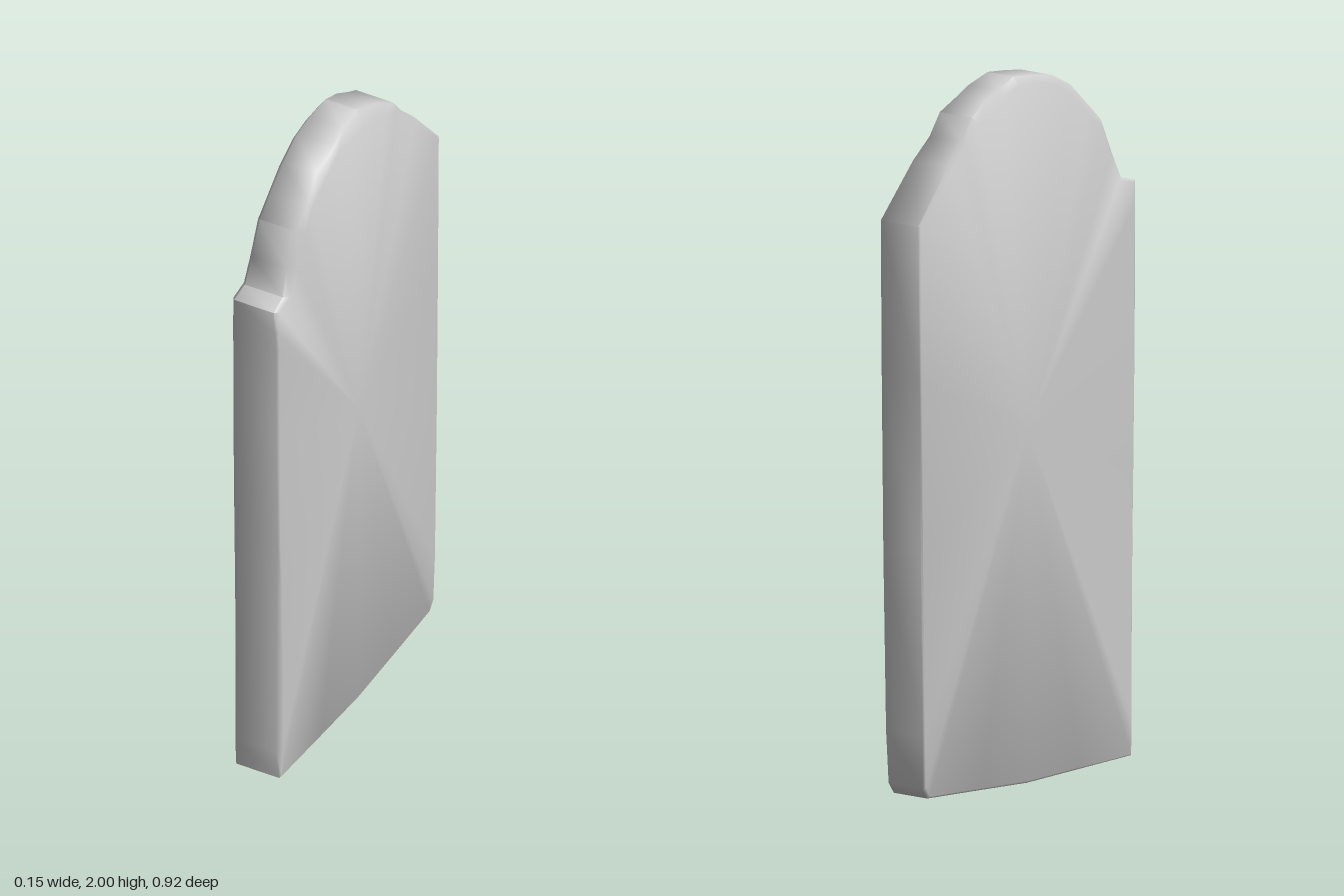
import * as THREE from 'three';
import { toCreasedNormals } from 'three/addons/utils/BufferGeometryUtils.js';

// Silhouette from the front foot, over the arch, to the back foot:
// [z, y, chip on the left edge, chip on the right edge]
const OUTLINE = [
  [0.44, 0.01, 0.008, 0.006], [0.443, 0.1, 0.02, 0.006], [0.443, 0.32, 0.018, 0.006],
  [0.446, 0.62, 0.014, 0.006], [0.449, 0.82, 0.007, 0.005], [0.455, 1.2, 0.008, 0.005],
  [0.457, 1.5, 0.008, 0.006], [0.463, 1.56, 0.008, 0.012], [0.463, 1.63, 0.014, 0.014],
  [0.405, 1.645, 0.02, 0.016], [0.37, 1.72, 0.03, 0.02], [0.325, 1.82, 0.03, 0.02],
  [0.27, 1.875, 0.014, 0.026], [0.2, 1.94, 0.03, 0.03], [0.12, 1.978, 0.02, 0.024],
  [0.04, 1.99, 0.035, 0.02], [-0.04, 1.998, 0.045, 0.026], [-0.11, 1.97, 0.03, 0.02],
  [-0.16, 1.945, 0.03, 0.03], [-0.22, 1.91, 0.018, 0.02], [-0.27, 1.85, 0.026, 0.014],
  [-0.33, 1.79, 0.014, 0.012], [-0.46, 1.64, 0.006, 0.006], [-0.455, 1.2, 0.005, 0.005],
  [-0.449, 0.7, 0.006, 0.005], [-0.441, 0.2, 0.01, 0.006], [-0.438, 0.05, 0.02, 0.008],
  [-0.42, 0.02, 0.025, 0.008], [-0.2, 0.01, 0.012, 0.006], [0, 0.0, 0.006, 0.006],
  [0.22, 0.005, 0.006, 0.006],
];
const LEFT = 0.071, RIGHT = -0.074;

// Point on the flat face, drawn in from the silhouette by the size of the chip
function inset(x, [z, y], chip) {
  const dy = THREE.MathUtils.clamp(y, 0.45, 1.5) - y;
  const s = chip / Math.hypot(z, dy);
  return [x, y + dy * s, z - z * s];
}

function slabGeometry() {
  const n = OUTLINE.length;
  // Rings run from the left face, around the worn rim, to the right face
  const rings = [
    OUTLINE.map(() => [LEFT, 1, 0]),
    OUTLINE.map((p) => inset(LEFT, p, p[2])),
    OUTLINE.map((p) => [LEFT - p[2] * 0.7, p[1], p[0]]),
    OUTLINE.map((p) => [RIGHT + p[3] * 0.7, p[1], p[0]]),
    OUTLINE.map((p) => inset(RIGHT, p, p[3])),
    OUTLINE.map(() => [RIGHT, 1, 0]),
  ];
  const pos = [];
  for (let r = 0; r < rings.length - 1; r++) {
    for (let j = 0; j < n; j++) {
      const k = (j + 1) % n;
      const a = rings[r][j], b = rings[r][k], c = rings[r + 1][j], d = rings[r + 1][k];
      if (r < rings.length - 2) pos.push(...a, ...d, ...c);
      if (r > 0) pos.push(...a, ...b, ...d);
    }
  }
  const geo = new THREE.BufferGeometry();
  geo.setAttribute('position', new THREE.Float32BufferAttribute(pos, 3));
  return toCreasedNormals(geo, 1.0);
}

export function createModel() {
  const group = new THREE.Group();
  group.name = 'headstone';
  const stone = new THREE.MeshStandardMaterial({ color: 0xcccccc });
  // Upright slab with a chipped, arched top
  const slab = new THREE.Mesh(slabGeometry(), stone);
  slab.name = 'slab';
  group.add(slab);
  return group;
}
